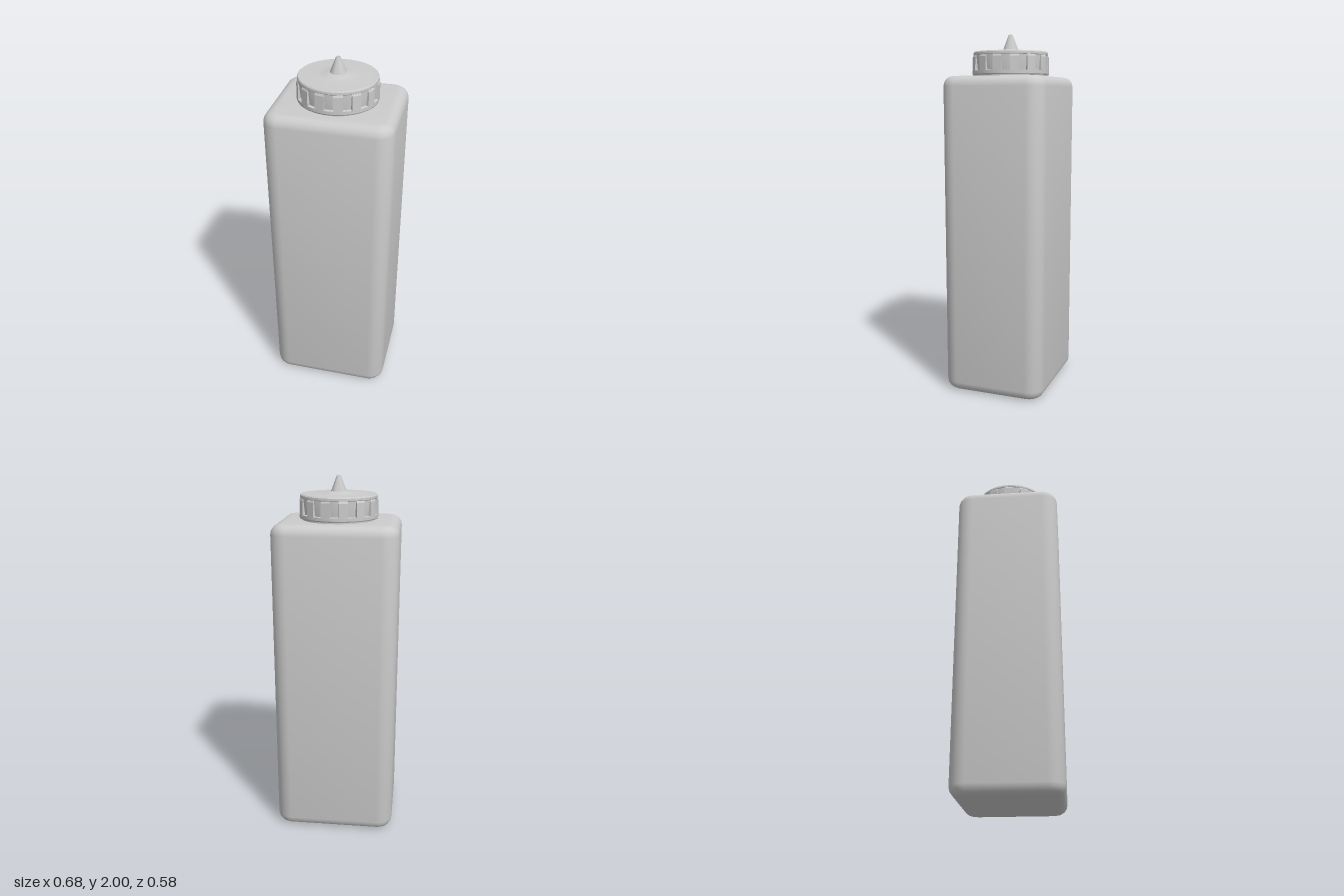
import * as THREE from 'three';
import { toCreasedNormals } from 'three/addons/utils/BufferGeometryUtils.js';

const SLOTS = 14;
const SIDES = SLOTS * 2;
const STEP = (Math.PI * 2) / SLOTS;

export function createModel() {
  const group = new THREE.Group();
  group.name = 'squeezeBottle';
  const material = new THREE.MeshStandardMaterial({ color: 0xcccccc });

  const add = (name, geometry, parent = group) => {
    const mesh = new THREE.Mesh(geometry, material);
    mesh.name = name;
    parent.add(mesh);
    return mesh;
  };
  // Turned part from [radius, height] pairs, listed bottom to top on the outside
  const turned = (profile, sides, crease = 0.6) => {
    const points = profile.map(([r, y]) => new THREE.Vector2(r, y));
    const geo = new THREE.LatheGeometry(points, sides, -Math.PI / sides);
    return toCreasedNormals(geo, crease);
  };

  // Bottle body: rounded rectangle with rounded top and bottom edges
  const bevel = 0.055, r = 0.035, height = 1.77;
  const w = 0.338 - bevel, d = 0.29 - bevel;
  const outline = new THREE.Shape();
  outline.absarc(w - r, d - r, r, 0, Math.PI / 2);
  outline.absarc(-w + r, d - r, r, Math.PI / 2, Math.PI);
  outline.absarc(-w + r, -d + r, r, Math.PI, Math.PI * 1.5);
  outline.absarc(w - r, -d + r, r, Math.PI * 1.5, Math.PI * 2);
  outline.closePath();
  const body = new THREE.ExtrudeGeometry(outline, {
    depth: height - 2 * bevel, bevelSize: bevel, bevelThickness: bevel,
    bevelSegments: 4, curveSegments: 4,
  });
  body.rotateX(-Math.PI / 2).translate(0, bevel, 0);
  add('body', toCreasedNormals(body, 0.7));

  // Neck seen in the gap under the cap
  add('neck', turned([[0.198, 1.75], [0.198, 1.79]], SIDES));

  // Screw cap: bottom rim, sloped slot floors, top edge and lid rising to the nozzle
  const cap = new THREE.Group();
  cap.name = 'cap';
  group.add(cap);
  add('capShell', turned([
    [0, 1.779], [0.212, 1.779], [0.215, 1.785], [0.215, 1.802], [0.2, 1.804],
    [0.208, 1.885], [0.21, 1.888], [0.209, 1.9], [0.204, 1.906],
    [0.1, 1.907], [0.07, 1.911], [0.042, 1.92], [0, 1.92],
  ], SIDES, 0.45), cap);

  // Grip ribs between the slots
  const ribWidth = 2 * 0.215 * Math.sin(Math.PI / SIDES);
  const ribShape = new THREE.Shape([
    [0.19, 1.8], [0.2137, 1.8], [0.2125, 1.876], [0.207, 1.887], [0.19, 1.887],
  ].map(([x, y]) => new THREE.Vector2(x, y)));
  const ribGeo = new THREE.ExtrudeGeometry(ribShape, { depth: ribWidth, bevelEnabled: false });
  ribGeo.translate(0, 0, -ribWidth / 2).rotateY(-Math.PI / 2);
  for (let i = 0; i < SLOTS; i++) {
    add('gripRib', ribGeo, cap).rotation.y = (i + 0.5) * STEP;
  }

  // Conical nozzle with a small hole in its tip
  add('nozzle', turned([
    [0.044, 1.915], [0.042, 1.921], [0.013, 1.995], [0.011, 2], [0.007, 2],
    [0.007, 1.975], [0, 1.975],
  ], 14), cap);

  return group;
}
